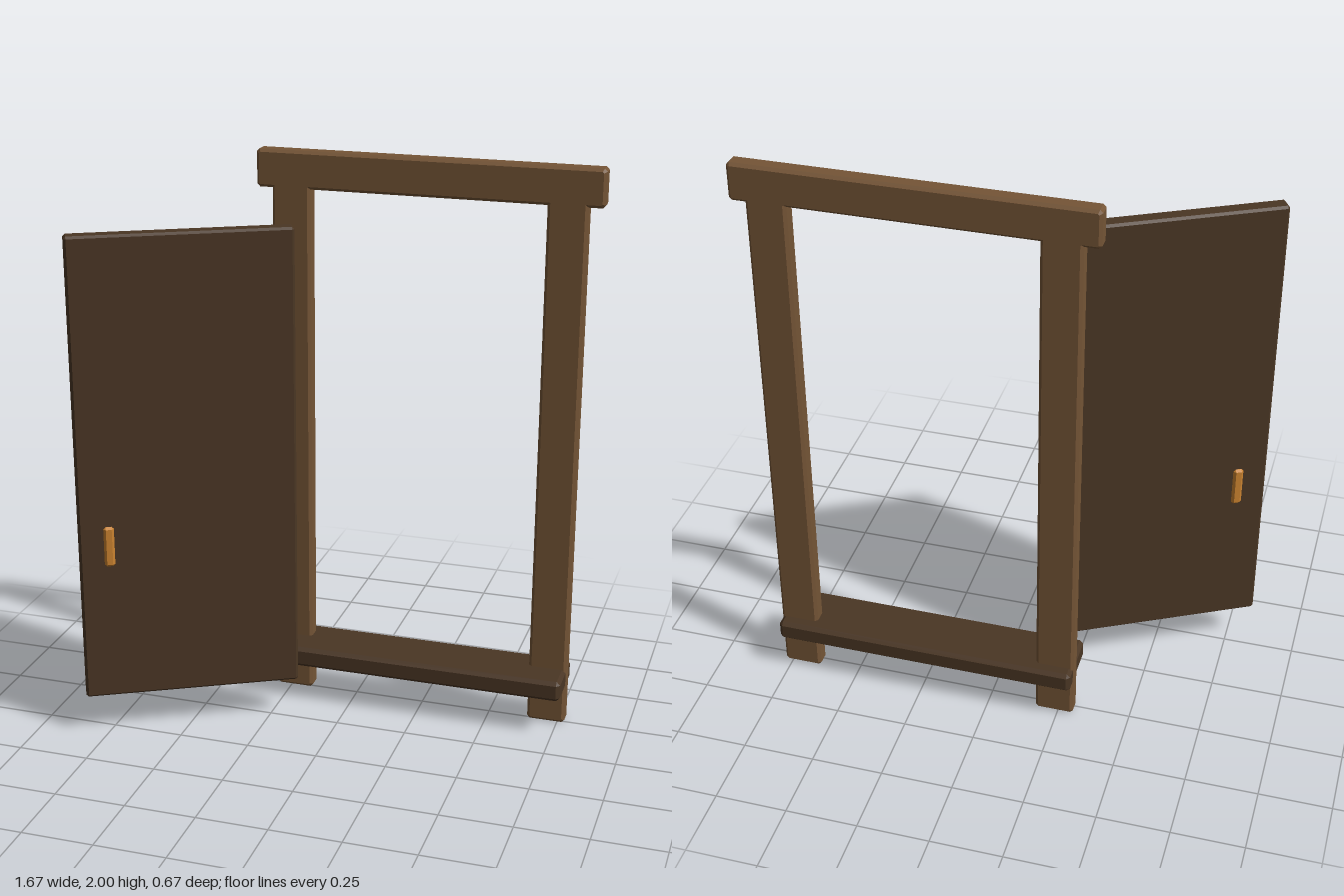
import * as THREE from 'three';
import { ConvexGeometry } from 'three/addons/geometries/ConvexGeometry.js';

const mat = (name, color) => {
  const m = new THREE.MeshStandardMaterial({ color });
  m.name = name;
  return m;
};

// Box with chamfered edges, centred on its origin
function chamferBox(w, h, d, c) {
  const points = [];
  for (const x of [-1, 1]) for (const y of [-1, 1]) for (const z of [-1, 1]) {
    points.push(
      new THREE.Vector3(x * w / 2, y * (h / 2 - c), z * (d / 2 - c)),
      new THREE.Vector3(x * (w / 2 - c), y * h / 2, z * (d / 2 - c)),
      new THREE.Vector3(x * (w / 2 - c), y * (h / 2 - c), z * d / 2));
  }
  return new ConvexGeometry(points);
}

function addPart(parent, name, geometry, material, x, y, z) {
  const mesh = new THREE.Mesh(geometry, material);
  mesh.name = name;
  mesh.position.set(x, y, z);
  parent.add(mesh);
  return mesh;
}

// Two posts and a lintel in one bevelled piece
function frameGeometry(depth, c) {
  const half = [
    [0, 1.87], [0.405, 1.87], [0.405, c], [0.405 + c, 0], [0.54 - c, 0], [0.54, c],
    [0.54, 1.87], [0.595 - c, 1.87], [0.595, 1.87 + c], [0.595, 2 - c], [0.595 - c, 2],
  ];
  const mirrored = half.slice(1).reverse().map(([x, y]) => [-x, y]);
  const shape = new THREE.Shape([...half, ...mirrored].map(([x, y]) => new THREE.Vector2(x, y)));
  const geometry = new THREE.ExtrudeGeometry(shape, {
    depth: depth - 2 * c, bevelEnabled: true, bevelThickness: c,
    bevelSize: c, bevelOffset: -c, bevelSegments: 1,
  });
  geometry.translate(0, 0, -depth / 2 + c);
  return geometry;
}

export function createModel() {
  const group = new THREE.Group();
  group.name = 'openDoorway';
  const frameWood = mat('frame wood', 0x755536);
  const darkWood = mat('dark wood', 0x4a3624);
  const handleWood = mat('handle orange', 0xc9822f);

  addPart(group, 'doorFrame', frameGeometry(0.06, 0.01), frameWood, 0.236, 0, -0.264);
  addPart(group, 'threshold', chamferBox(1.075, 0.075, 0.212, 0.013), darkWood, 0.236, 0.173, -0.231);

  // Door leaf swung open, with a handle passing through it
  const door = new THREE.Group();
  door.name = 'door';
  door.position.set(-0.495, 0, 0.137);
  door.rotation.y = THREE.MathUtils.degToRad(28);
  group.add(door);
  addPart(door, 'doorPanel', chamferBox(0.753, 1.65, 0.058, 0.008), darkWood, 0, 0.968, 0);
  addPart(door, 'handle', chamferBox(0.036, 0.145, 0.078, 0.008), handleWood, -0.274, 0.711, 0);

  return group;
}
